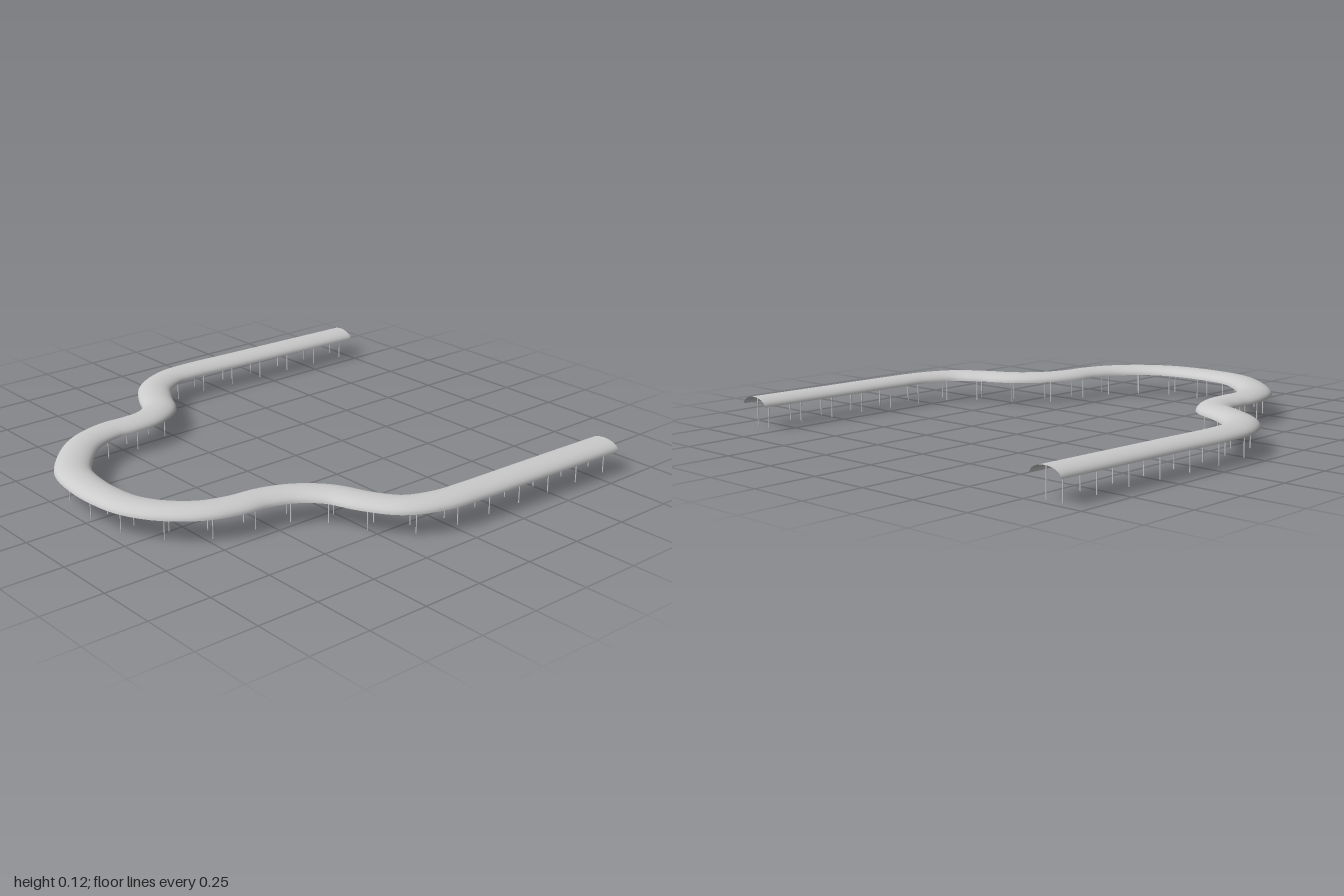
import * as THREE from 'three';

const HALF_WIDTH = 0.072, EAVE = 0.09, RISE = 0.035;

// Walkway centreline as (x, z), from the back end round to the front end
const CENTRE = [
  [1, -0.847], [0.7, -0.86], [0.4, -0.873], [0.12, -0.885], [0, -0.872], [-0.12, -0.805],
  [-0.2, -0.69], [-0.26, -0.58], [-0.36, -0.52], [-0.46, -0.508], [-0.56, -0.508],
  [-0.7, -0.46], [-0.82, -0.35], [-0.9, -0.23], [-0.928, -0.08], [-0.928, 0.03],
  [-0.908, 0.15], [-0.845, 0.262], [-0.74, 0.352], [-0.62, 0.393], [-0.5, 0.407],
  [-0.385, 0.453], [-0.29, 0.545], [-0.235, 0.67], [-0.155, 0.782], [-0.02, 0.837],
  [0.14, 0.85], [0.4, 0.858], [0.63, 0.865], [0.855, 0.873],
];

export function createModel() {
  const group = new THREE.Group();
  const material = new THREE.MeshStandardMaterial({ color: 0xcccccc, side: THREE.DoubleSide });
  const path = new THREE.CatmullRomCurve3(CENTRE.map(([x, z]) => new THREE.Vector3(x, 0, z)));
  path.arcLengthDivisions = 800;

  // Point beside the centreline: u along the path, offset sideways, height y
  const beside = (u, offset, y) => {
    const p = path.getPointAt(u), t = path.getTangentAt(u);
    return new THREE.Vector3(p.x + t.z * offset, y, p.z - t.x * offset);
  };

  // Open arched canopy swept along the path
  const ROWS = 180, COLS = 16;
  const positions = [], index = [];
  for (let i = 0; i <= ROWS; i++) {
    for (let j = 0; j <= COLS; j++) {
      const a = Math.PI * j / COLS;
      positions.push(...beside(i / ROWS, Math.cos(a) * HALF_WIDTH, EAVE + Math.sin(a) * RISE).toArray());
      if (i < ROWS && j < COLS) {
        const k = i * (COLS + 1) + j, n = k + COLS + 1;
        index.push(k, n, k + 1, n, n + 1, k + 1);
      }
    }
  }
  const canopyGeometry = new THREE.BufferGeometry();
  canopyGeometry.setAttribute('position', new THREE.Float32BufferAttribute(positions, 3));
  canopyGeometry.setIndex(index);
  canopyGeometry.computeVertexNormals();
  const canopy = new THREE.Mesh(canopyGeometry, material);
  canopy.name = 'canopy';
  group.add(canopy);

  // Pairs of slender posts at even spacing, reaching up to the canopy shell
  const posts = new THREE.Group();
  posts.name = 'posts';
  const height = 0.118, inset = 0.037, margin = 0.042;
  const postGeometry = new THREE.CylinderGeometry(0.0025, 0.0025, height, 8);
  const length = path.getLength();
  const bays = Math.round((length - 2 * margin) / 0.157);
  for (let i = 0; i <= bays; i++) {
    const u = (margin + (length - 2 * margin) * i / bays) / length;
    for (const side of [-1, 1]) {
      const post = new THREE.Mesh(postGeometry, material);
      post.name = 'post';
      post.position.copy(beside(u, side * inset, height / 2));
      posts.add(post);
    }
  }
  group.add(posts);
  return group;
}
